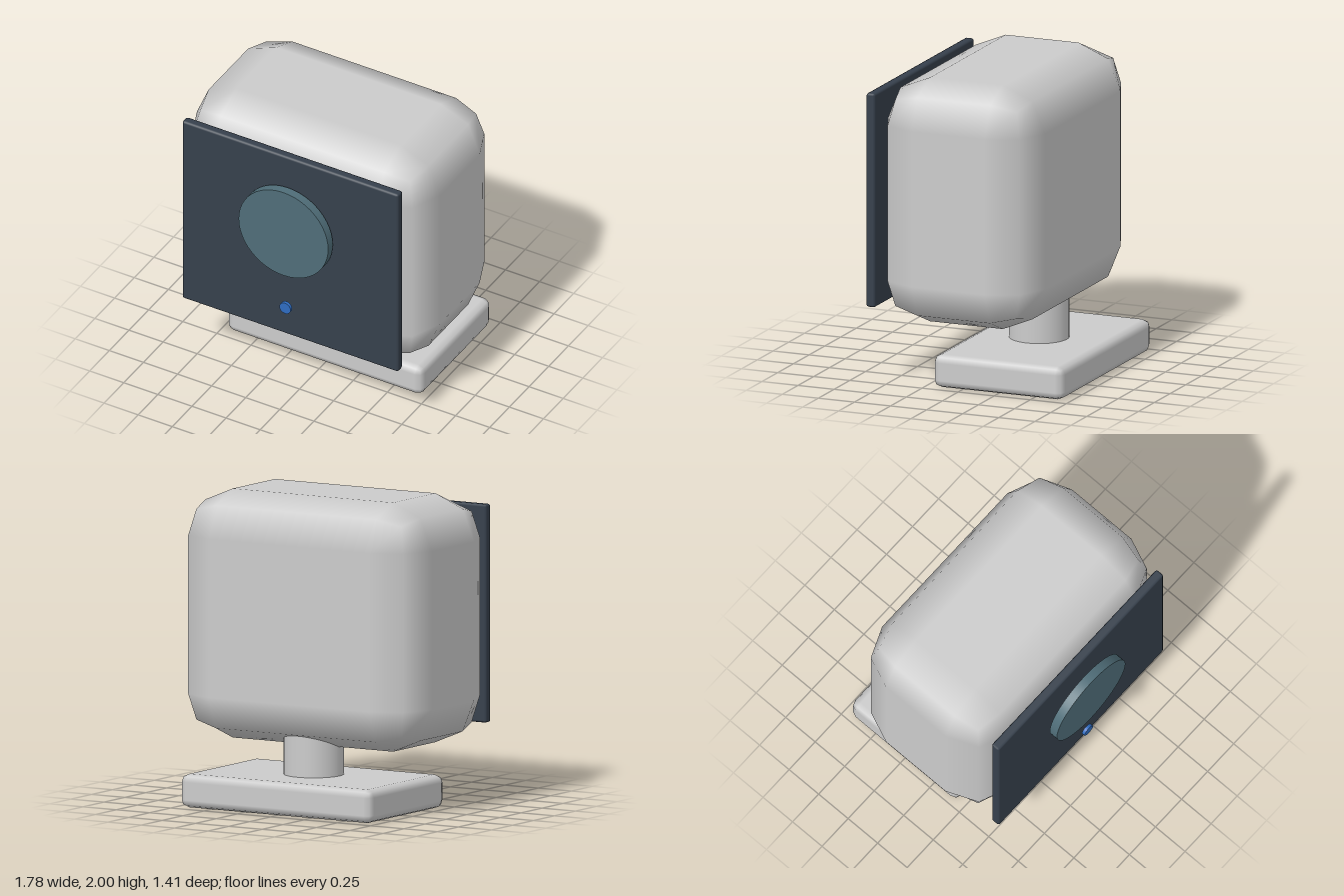
import * as THREE from 'three';
import { RoundedBoxGeometry } from 'three/addons/geometries/RoundedBoxGeometry.js';

const grey = new THREE.MeshStandardMaterial({ color: 0xcccccc });
const dark = new THREE.MeshStandardMaterial({ color: 0x36404c });
const glass = new THREE.MeshStandardMaterial({ color: 0x4f6d78 });
const blue = new THREE.MeshStandardMaterial({ color: 0x2f6cc0 });

export function createModel() {
  const model = new THREE.Group();
  model.name = 'deskCamera';

  const add = (name, geometry, material, x, y, z) => {
    const mesh = new THREE.Mesh(geometry, material);
    mesh.name = name;
    mesh.position.set(x, y, z);
    model.add(mesh);
    return mesh;
  };
  // Disc whose flat faces point along z
  const disc = (radius, depth, sides) =>
    new THREE.CylinderGeometry(radius, radius, depth, sides).rotateX(Math.PI / 2);

  // Foot and post
  add('base', new RoundedBoxGeometry(1.434, 0.215, 0.902, 1, 0.05), grey, 0, 0.1075, -0.255);
  add('post', new THREE.CylinderGeometry(0.193, 0.193, 0.4, 32), grey, 0, 0.36, -0.235);

  // Housing with coarse, smooth-shaded rounded edges
  add('housing', new RoundedBoxGeometry(1.782, 1.597, 1.084, 1, 0.29), grey, 0, 1.2015, 0.007);

  // Front plate, lens and status light, each set slightly proud of the last
  add('frontPlate', new RoundedBoxGeometry(1.584, 1.4, 0.062, 1, 0.015), dark, 0, 1.204, 0.59);
  add('lens', disc(0.328, 0.06, 48), glass, 0, 1.36, 0.675);
  add('statusLight', disc(0.041, 0.022, 24), blue, 0, 0.758, 0.674);

  return model;
}
